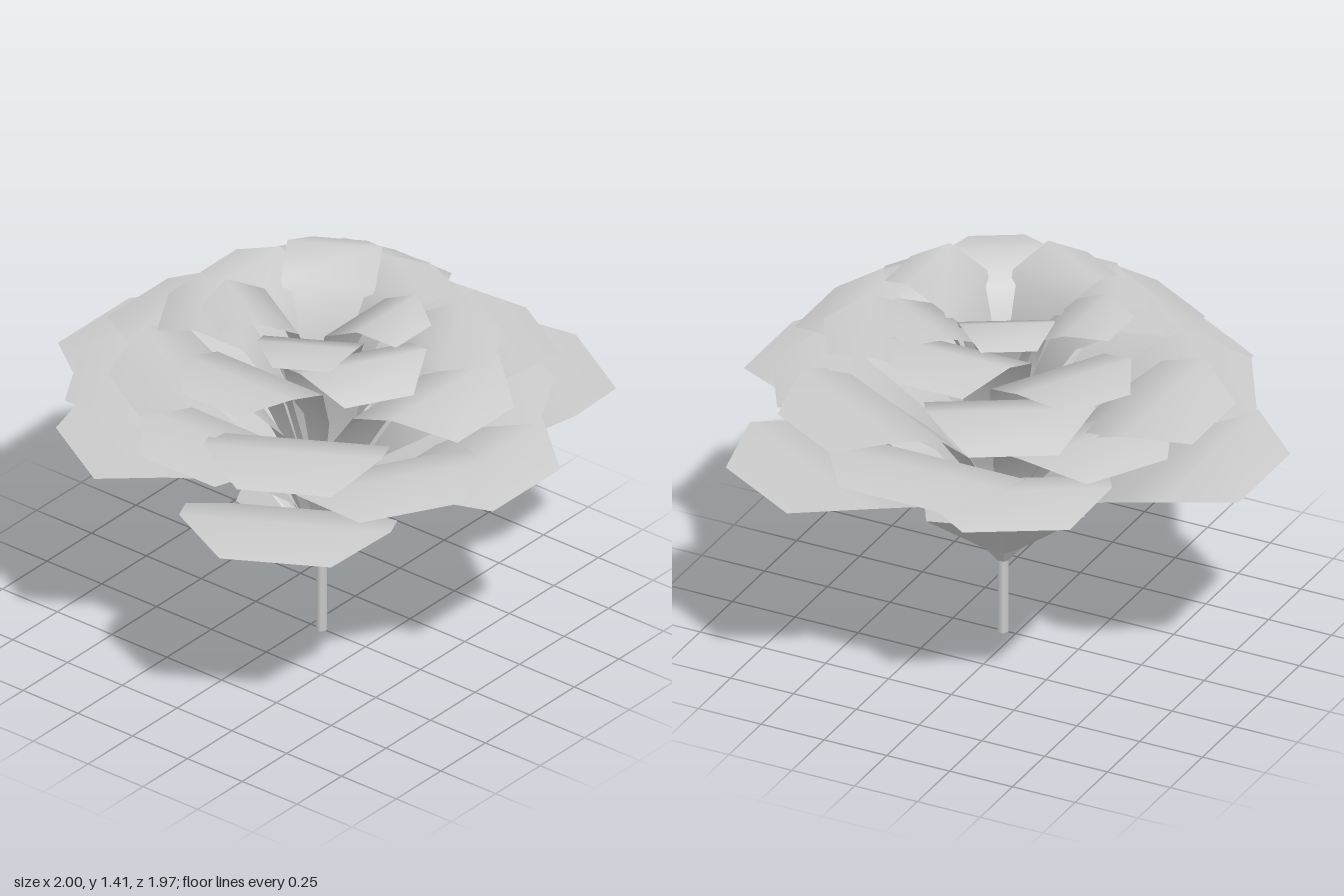
import * as THREE from 'three';

const CENTRE_Z = 0.05;
const lerp = THREE.MathUtils.lerp;
const smooth = new THREE.MeshStandardMaterial({ color: 0xcccccc, side: THREE.DoubleSide });
const faceted = new THREE.MeshStandardMaterial({ color: 0xcccccc, side: THREE.DoubleSide, flatShading: true });

// Surface through cross-sections, each an array with the same number of points
function loft(sections) {
  const n = sections[0].length;
  const index = [];
  for (let i = 0; i < sections.length - 1; i++) {
    for (let j = 0; j < n - 1; j++) {
      const a = i * n + j, b = a + 1, c = a + n, d = c + 1;
      index.push(a, c, b, b, c, d);
    }
  }
  const g = new THREE.BufferGeometry();
  g.setAttribute('position', new THREE.Float32BufferAttribute(sections.flat(2), 3));
  g.setIndex(index);
  g.computeVertexNormals();
  return g;
}

// Petal pointing along +z: a strip bent only along its length, with a rim that turns down.
// steep runs from 0 (outer, spreading) to 1 (inner, upright).
function petalGeometry({ reach, tipY, peakY, tipW, wideW }, steep) {
  const baseY = 0.38;
  const at = (rOuter, rInner, h, w) => ({
    r: reach * lerp(rOuter, rInner, steep), y: lerp(baseY, peakY, h), w: wideW * w,
  });
  const rows = [
    { r: 0.02, y: baseY, w: 0.03 },
    at(0.16, 0.08, 0.36, 0.27),
    at(0.41, 0.14, 0.68, 0.64),
    at(0.65, 0.36, 0.93, 1),
    at(0.79, 0.71, 1, 1),
    { r: reach, y: tipY, w: tipW },
  ];
  return loft(rows.map(({ r, y, w }) => [[-w, y, r], [w, y, r]]));
}

export function createModel() {
  const model = new THREE.Group();
  model.name = 'flower';
  const flower = new THREE.Group();
  flower.name = 'stemAndBloom';
  flower.position.z = CENTRE_Z;
  model.add(flower);

  // Stem
  const stem = new THREE.Mesh(new THREE.CylinderGeometry(0.022, 0.022, 0.3, 6), smooth);
  stem.name = 'stem';
  stem.position.y = 0.15;
  flower.add(stem);

  // Six-sided calyx cup with a rim of alternating height
  const ring = (radius, yEven, yOdd) => Array.from({ length: 7 }, (_, i) => {
    const a = (i * Math.PI) / 3;
    return [Math.sin(a) * radius, i % 2 ? yOdd : yEven, Math.cos(a) * radius];
  });
  const calyx = new THREE.Mesh(
    loft([ring(0.325, 0.595, 0.54), ring(0.07, 0.35, 0.35), ring(0.022, 0.29, 0.29)]), faceted);
  calyx.name = 'calyx';
  flower.add(calyx);

  // Petal layers from the outermost to the innermost: reach, tip and peak heights, half widths
  const layers = [
    [1.04, 0.88, 0.915, 0.20, 0.38],
    [0.935, 0.92, 0.97, 0.19, 0.35],
    [0.89, 0.97, 1.0, 0.195, 0.35],
    [0.81, 1.02, 1.075, 0.17, 0.32],
    [0.84, 1.05, 1.105, 0.17, 0.32],
    [0.75, 1.12, 1.205, 0.16, 0.30],
    [0.57, 1.25, 1.33, 0.13, 0.24],
    [0.63, 1.21, 1.245, 0.13, 0.24],
    [0.47, 1.34, 1.365, 0.10, 0.18],
    [0.42, 1.36, 1.41, 0.10, 0.17],
  ];
  const headings = [Math.PI, 0, Math.PI / 2, -Math.PI / 2];
  layers.forEach(([reach, tipY, peakY, tipW, wideW], i) => {
    const steep = (1.04 - reach) / (1.04 - 0.42);
    const geometry = petalGeometry({ reach, tipY, peakY, tipW, wideW }, steep);
    const layer = new THREE.Group();
    layer.name = `petalLayer${i + 1}`;
    for (let k = 0; k < 3; k++) {
      const petal = new THREE.Mesh(geometry, smooth);
      petal.name = 'petal';
      petal.rotation.y = headings[i % 4] + (k * 2 * Math.PI) / 3;
      layer.add(petal);
    }
    flower.add(layer);
  });
  return model;
}
